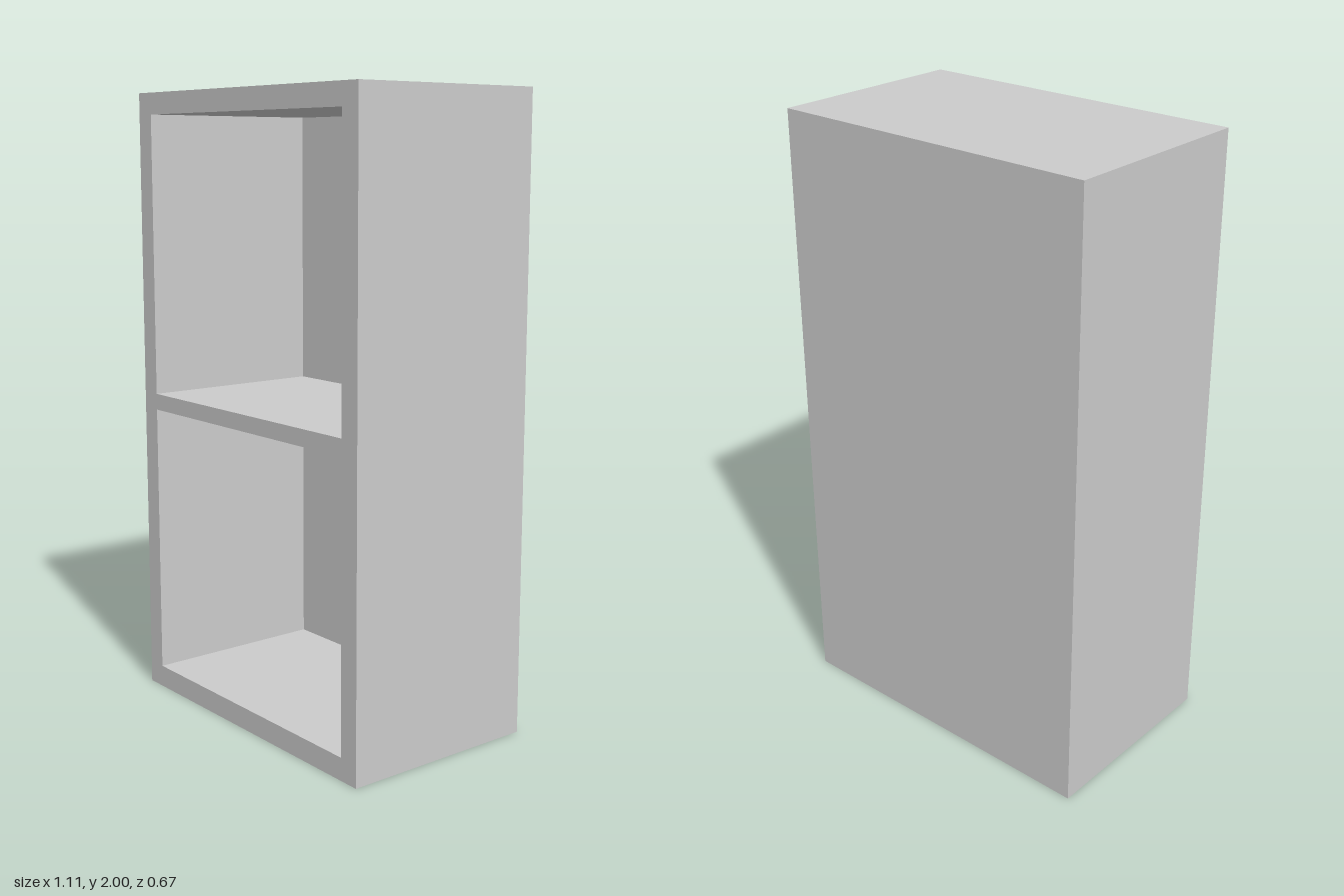
import * as THREE from 'three';

const WIDTH = 1.11, HEIGHT = 2, DEPTH = 0.665;
const BACK = 0.05; // back panel thickness
const OPENING_HALF_WIDTH = 0.486;
const OPENINGS = [[0.072, 0.968], [1.021, 1.931]]; // bottom and top of each compartment

// Rectangle outline added to a Shape or Path
function rectangle(path, halfWidth, bottom, top) {
  path.moveTo(-halfWidth, bottom);
  path.lineTo(halfWidth, bottom);
  path.lineTo(halfWidth, top);
  path.lineTo(-halfWidth, top);
  path.closePath();
  return path;
}

export function createModel() {
  const group = new THREE.Group();
  group.name = 'bookcase';
  const material = new THREE.MeshStandardMaterial({ color: 0xcccccc });

  // Sides, top, base and middle shelf as one frame with two compartments
  const outline = rectangle(new THREE.Shape(), WIDTH / 2, 0, HEIGHT);
  for (const [bottom, top] of OPENINGS) {
    outline.holes.push(rectangle(new THREE.Path(), OPENING_HALF_WIDTH, bottom, top));
  }
  const frame = new THREE.Mesh(
    new THREE.ExtrudeGeometry(outline, { depth: DEPTH - BACK, bevelEnabled: false }),
    material
  );
  frame.name = 'shelfFrame';
  frame.position.z = -DEPTH / 2 + BACK;
  group.add(frame);

  // Back panel closing both compartments
  const back = new THREE.Mesh(new THREE.BoxGeometry(WIDTH, HEIGHT, BACK), material);
  back.name = 'backPanel';
  back.position.set(0, HEIGHT / 2, -DEPTH / 2 + BACK / 2);
  group.add(back);

  return group;
}
